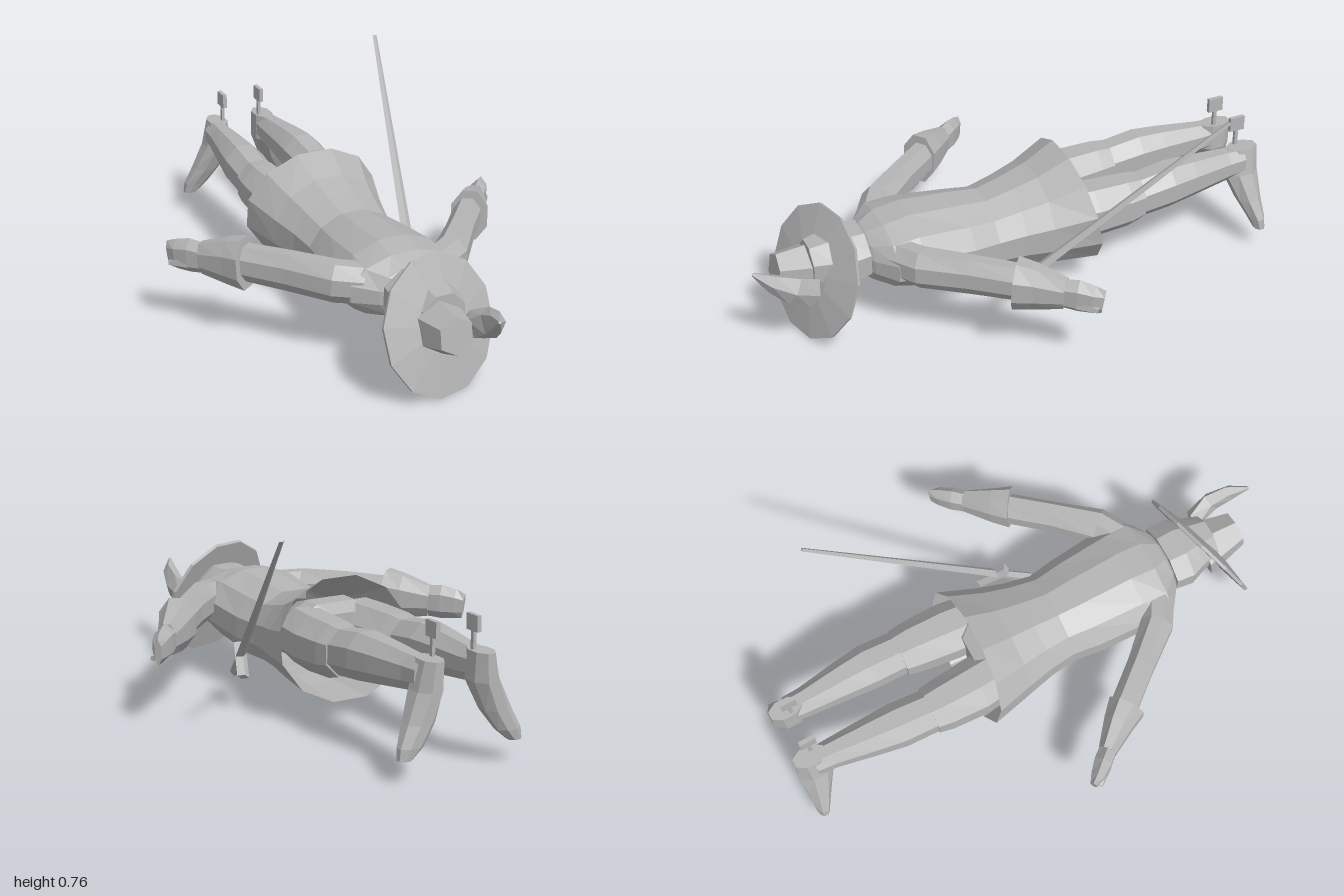
import * as THREE from 'three';

const grey = new THREE.MeshStandardMaterial({ color: 0xb4b4b4, flatShading: true, side: THREE.DoubleSide });
grey.name = 'plain grey';
const V = (x, y, z) => new THREE.Vector3(x, y, z);
const Y = V(0, 1, 0), Z = V(0, 0, 1);

function add(parent, name, geometry) {
  const mesh = new THREE.Mesh(geometry, grey);
  mesh.name = name;
  parent.add(mesh);
  return mesh;
}

// Skin over rings [x, y, z, halfWidth, halfHeight, zShear]; dir fixes the ring plane, otherwise it follows the path
function loft(rings, { n = 8, dir = null, up = Y, open = false } = {}) {
  const c = rings.map(r => V(r[0], r[1], r[2]));
  const loops = rings.map((r, i) => {
    const d = dir || c[Math.min(i + 1, c.length - 1)].clone().sub(c[Math.max(i - 1, 0)]).normalize();
    const u = up.clone().cross(d.clone().negate()).normalize();
    const v = d.clone().negate().cross(u).normalize();
    return Array.from({ length: n }, (_, k) => {
      const a = (k + 0.5) / n * Math.PI * 2, s = 1 / Math.cos(Math.PI / n);
      const p = c[i].clone().addScaledVector(u, Math.cos(a) * r[3] * s).addScaledVector(v, Math.sin(a) * r[4] * s);
      p.z += (r[5] || 0) * (p.y - r[1]);
      return p;
    });
  });
  const tri = [];
  const last = loops.length - 1;
  for (let k = 0; k < n; k++) {
    const m = (k + 1) % n;
    for (let i = 0; i < last; i++) {
      const a = loops[i], b = loops[i + 1];
      tri.push(a[k], b[k], a[m], a[m], b[k], b[m]);
    }
    tri.push(c[0], loops[0][k], loops[0][m]);
    if (!open) tri.push(c[last], loops[last][m], loops[last][k]);
  }
  const g = new THREE.BufferGeometry().setFromPoints(tri);
  g.computeVertexNormals();
  return g;
}

// Straight tapered bar between two points
function bar(parent, name, a, b, r1, r2, sides = 4, flat = 1) {
  const m = add(parent, name, new THREE.CylinderGeometry(r2, r1, a.distanceTo(b), sides).scale(1, 1, flat));
  m.position.copy(a).add(b).multiplyScalar(0.5);
  m.quaternion.setFromUnitVectors(Y, b.clone().sub(a).normalize());
  return m;
}

export function createModel() {
  const model = new THREE.Group();
  model.name = 'lyingSwordsman';
  const back = V(0, 0, -1);

  // Coat with flared open hem
  add(model, 'coat', loft([
    [0, 0.28, 0.59, 0.07, 0.07], [0, 0.28, 0.56, 0.13, 0.095], [0, 0.285, 0.5, 0.21, 0.115],
    [0, 0.275, 0.4, 0.205, 0.14], [0, 0.25, 0.2, 0.19, 0.15], [0, 0.245, 0.1, 0.175, 0.145],
    [0, 0.255, 0, 0.19, 0.16], [0, 0.265, -0.1, 0.215, 0.18], [0, 0.29, -0.26, 0.26, 0.215, 0.18],
  ], { n: 12, dir: back, open: true }));
  add(model, 'hips', loft([
    [0, 0.28, -0.02, 0.14, 0.1], [0, 0.29, -0.12, 0.19, 0.12], [0, 0.3, -0.2, 0.19, 0.11], [0, 0.31, -0.25, 0.1, 0.07],
  ], { dir: back }));

  // Head, hair and face
  add(model, 'hair', loft([
    [0, 0.28, 0.77, 0.08, 0.08], [0, 0.28, 0.69, 0.105, 0.095], [0, 0.28, 0.64, 0.125, 0.1],
    [0, 0.29, 0.57, 0.12, 0.09],
  ], { dir: back }));
  add(model, 'face', loft([
    [0, 0.2, 0.76, 0.06, 0.05], [0, 0.19, 0.69, 0.07, 0.05], [0, 0.18, 0.62, 0.055, 0.045], [0, 0.16, 0.575, 0.02, 0.025],
  ], { n: 6, dir: back }));
  bar(model, 'nose', V(0, 0.16, 0.7), V(0, 0.115, 0.66), 0.022, 0.01);
  for (const s of [-1, 1]) bar(model, 'moustache', V(0, 0.135, 0.645), V(s * 0.06, 0.14, 0.655), 0.014, 0.003);

  // Tilted hat
  const brim = add(model, 'hatBrim', new THREE.LatheGeometry(
    [[0.01, -0.012], [0.245, -0.012], [0.248, 0], [0.1, 0.022], [0.01, 0.022]].map(p => new THREE.Vector2(...p)), 12));
  brim.position.set(0, 0.237, 0.745);
  brim.quaternion.setFromUnitVectors(Y, V(0.28, 0.36, 1).normalize());
  const crown = add(model, 'hatCrown', new THREE.CylinderGeometry(0.068, 0.108, 0.16, 6));
  crown.position.set(-0.018, 0.255, 0.808);
  crown.quaternion.setFromUnitVectors(Y, V(0, 0.15, 1).normalize());
  add(model, 'feather', loft([
    [0.07, 0.2, 0.76, 0.012, 0.02], [0.11, 0.23, 0.79, 0.03, 0.045], [0.125, 0.27, 0.86, 0.028, 0.045],
    [0.11, 0.31, 0.93, 0.022, 0.03], [0.08, 0.345, 0.99, 0.005, 0.005],
  ], { n: 5 }));

  for (const s of [-1, 1]) {
    // Sleeve, flared cuff and hand
    const arm = new THREE.Group();
    arm.name = s > 0 ? 'leftArm' : 'rightArm';
    model.add(arm);
    add(arm, 'sleeve', loft([
      [s * 0.14, 0.3, 0.47, 0.06, 0.07], [s * 0.225, 0.305, 0.42, 0.06, 0.072], [s * 0.34, 0.31, 0.285, 0.05, 0.07],
      [s * 0.46, 0.31, 0.14, 0.05, 0.065],
    ]));
    add(arm, 'cuff', loft([
      [s * 0.45, 0.31, 0.165, 0.068, 0.095], [s * 0.49, 0.305, 0.11, 0.055, 0.085], [s * 0.56, 0.295, 0.025, 0.033, 0.058],
    ]));
    add(arm, 'hand', loft([
      [s * 0.54, 0.295, 0.05, 0.03, 0.05], [s * 0.59, 0.295, -0.01, 0.032, 0.057],
      [s * 0.625, 0.29, -0.05, 0.025, 0.05], [s * 0.645, 0.285, -0.078, 0.012, 0.042],
    ], { n: 6 }));
    bar(arm, 'thumb', V(s * 0.6, 0.27, 0.0), V(s * 0.652, 0.26, -0.055), 0.022, 0.012, 5);

    // Breeches, boot, foot and spur
    const leg = new THREE.Group();
    leg.name = s > 0 ? 'leftLeg' : 'rightLeg';
    model.add(leg);
    add(leg, 'breeches', loft([
      [s * 0.11, 0.3, -0.16, 0.095, 0.1], [s * 0.12, 0.3, -0.28, 0.1, 0.1], [s * 0.125, 0.305, -0.42, 0.09, 0.095],
      [s * 0.125, 0.31, -0.475, 0.082, 0.085],
    ], { dir: back }));
    add(leg, 'boot', loft([
      [s * 0.127, 0.312, -0.46, 0.075, 0.08], [s * 0.125, 0.33, -0.6, 0.078, 0.083], [s * 0.12, 0.335, -0.7, 0.068, 0.075],
      [s * 0.11, 0.34, -0.86, 0.05, 0.06], [s * 0.11, 0.345, -0.93, 0.045, 0.052],
    ], { dir: back }));
    add(leg, 'foot', loft([
      [s * 0.1, 0.4, -0.935, 0.036, 0.06], [s * 0.11, 0.3, -0.93, 0.05, 0.066], [s * 0.15, 0.2, -0.95, 0.052, 0.046],
      [s * 0.19, 0.13, -0.967, 0.045, 0.03], [s * 0.215, 0.09, -0.972, 0.025, 0.02],
    ], { dir: V(0, -1, 0), up: Z }));
    const shank = add(leg, 'spurShank', new THREE.BoxGeometry(0.012, 0.09, 0.014));
    shank.position.set(s * 0.08, 0.435, -0.92);
    const rowel = add(leg, 'spurRowel', new THREE.BoxGeometry(0.016, 0.055, 0.06));
    rowel.position.set(s * 0.08, 0.49, -0.92);
  }

  // Sword hanging at the left hip
  const sword = new THREE.Group();
  sword.name = 'sword';
  model.add(sword);
  const pommel = V(0.235, 0.105, 0.13), guard = V(0.275, 0.2, 0.01), tip = V(0.47, 0.765, -0.64);
  bar(sword, 'grip', pommel, guard, 0.02, 0.016, 5);
  bar(sword, 'blade', guard, tip, 0.022, 0.009, 4, 0.6);
  bar(sword, 'crossGuard', V(0.3, 0.14, -0.055), V(0.26, 0.235, 0.045), 0.024, 0.024, 4, 0.6);
  return model;
}
